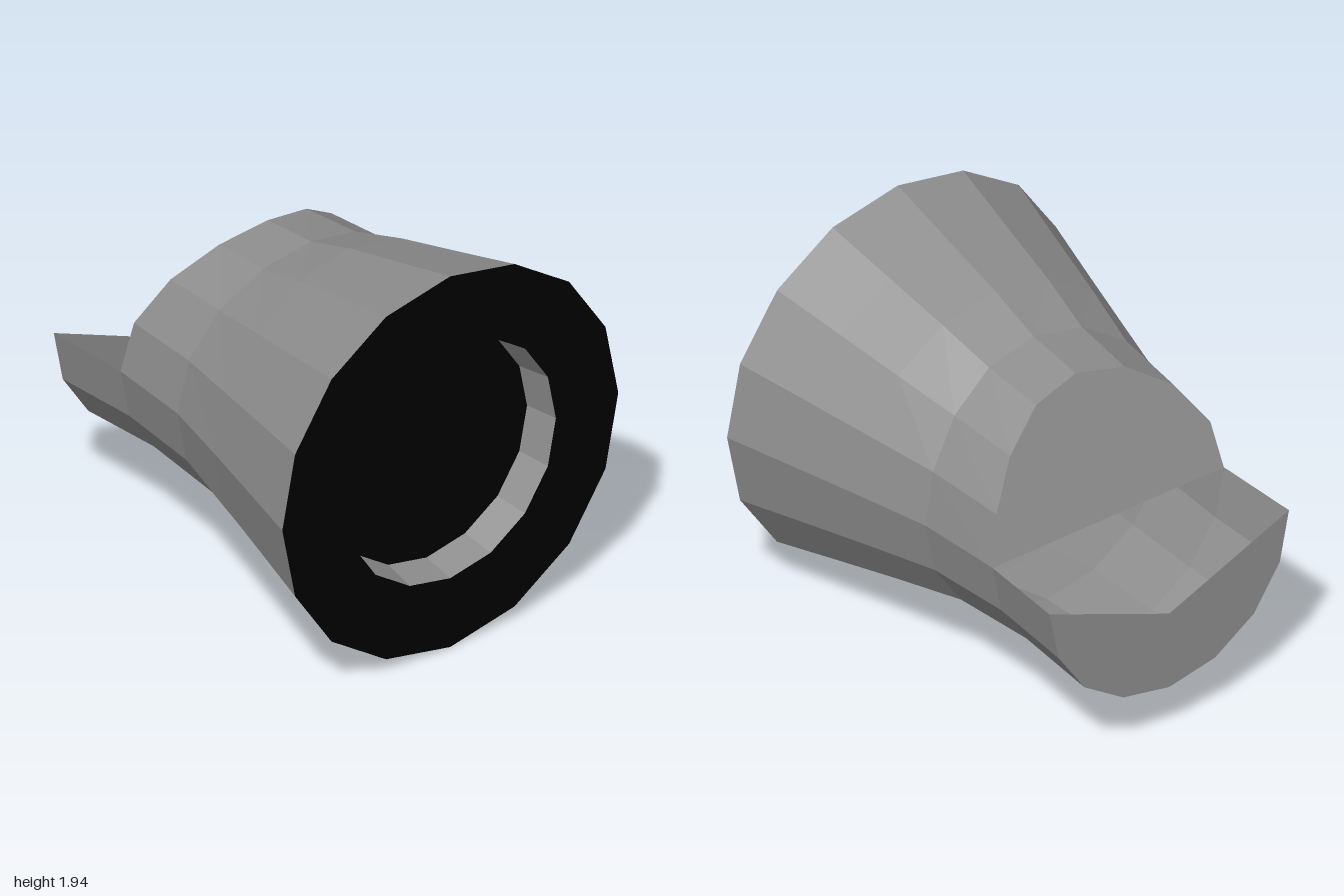
import * as THREE from 'three';

const SIDES = 16, AXIS_Y = 0.97;

// Point on a ring; the upper half may slide forward to zTop along a sine-squared curve
function ringPoint(i, r, z, zTop = z) {
  const a = (i / SIDES) * Math.PI * 2, s = Math.sin(a);
  return [r * Math.cos(a), AXIS_Y + r * s, s > 0 ? z + (zTop - z) * s * s : z];
}

function ring(r, z, zTop, from = 0, to = SIDES) {
  const row = [];
  for (let i = from; i <= to; i++) row.push(ringPoint(i, r, z, zTop));
  return row;
}

// Skin a list of rows with equal point counts
function skin(rows) {
  const n = rows[0].length, index = [];
  for (let j = 0; j < rows.length - 1; j++) {
    for (let i = 0; i < n - 1; i++) {
      const a = j * n + i, b = a + n;
      index.push(a, a + 1, b, a + 1, b + 1, b);
    }
  }
  const geo = new THREE.BufferGeometry();
  geo.setAttribute('position', new THREE.Float32BufferAttribute(rows.flat(2), 3));
  geo.setIndex(index);
  geo.computeVertexNormals();
  return geo;
}

export function createModel() {
  const group = new THREE.Group();
  const grey = new THREE.MeshStandardMaterial({ color: 0x8e8e8e, flatShading: true, side: THREE.DoubleSide });
  const evenGrey = new THREE.MeshStandardMaterial({ color: 0x8e8e8e, side: THREE.DoubleSide });
  const black = new THREE.MeshStandardMaterial({ color: 0x000000, flatShading: true, side: THREE.DoubleSide });
  const add = (name, geo, mat = grey) => {
    const mesh = new THREE.Mesh(geo, mat);
    mesh.name = name;
    group.add(mesh);
    return mesh;
  };

  // Flared hollow body, cut back in a curve on its upper half
  add('body', skin([
    ring(0.97, 1), ring(0.873, 0.63), ring(0.783, 0.28),
    ring(0.69, -0.1, 0), ring(0.657, -0.55, -0.31),
  ]));

  // Lower half continues rearwards as an open trough
  add('rearTrough', skin([
    ring(0.657, -0.55, -0.55, SIDES / 2, SIDES),
    ring(0.68, -1, -1, SIDES / 2, SIDES),
  ]));

  // Wall closing the upper half, built from left-right rows and shaded as one face
  const wall = [];
  for (let i = 0; i <= SIDES / 4; i++) {
    wall.push([ringPoint(i, 0.657, -0.55, -0.31), ringPoint(SIDES / 2 - i, 0.657, -0.55, -0.31)]);
  }
  const wallGeo = skin(wall), normal = wallGeo.attributes.normal;
  for (let i = 0; i < normal.count; i++) normal.setXYZ(i, 0, 0.342, -0.94);
  add('rearWall', wallGeo, evenGrey);

  // Half-round end plate with a V notch
  const plate = new THREE.Shape();
  plate.moveTo(0, -0.28);
  for (let i = SIDES / 2; i <= SIDES; i++) {
    const [x, y] = ringPoint(i, 0.68, 0);
    plate.lineTo(x, y - AXIS_Y);
  }
  add('endPlate', new THREE.ShapeGeometry(plate)).position.set(0, AXIS_Y, -1);

  // Dark front rim, recess wall and recess floor
  add('frontRim', new THREE.RingGeometry(0.61, 0.97, SIDES, 1), black).position.set(0, AXIS_Y, 1);
  add('recessWall', skin([ring(0.61, 1), ring(0.58, 0.83)]));
  add('recessFloor', new THREE.CircleGeometry(0.58, SIDES), black).position.set(0, AXIS_Y, 0.83);

  return group;
}
